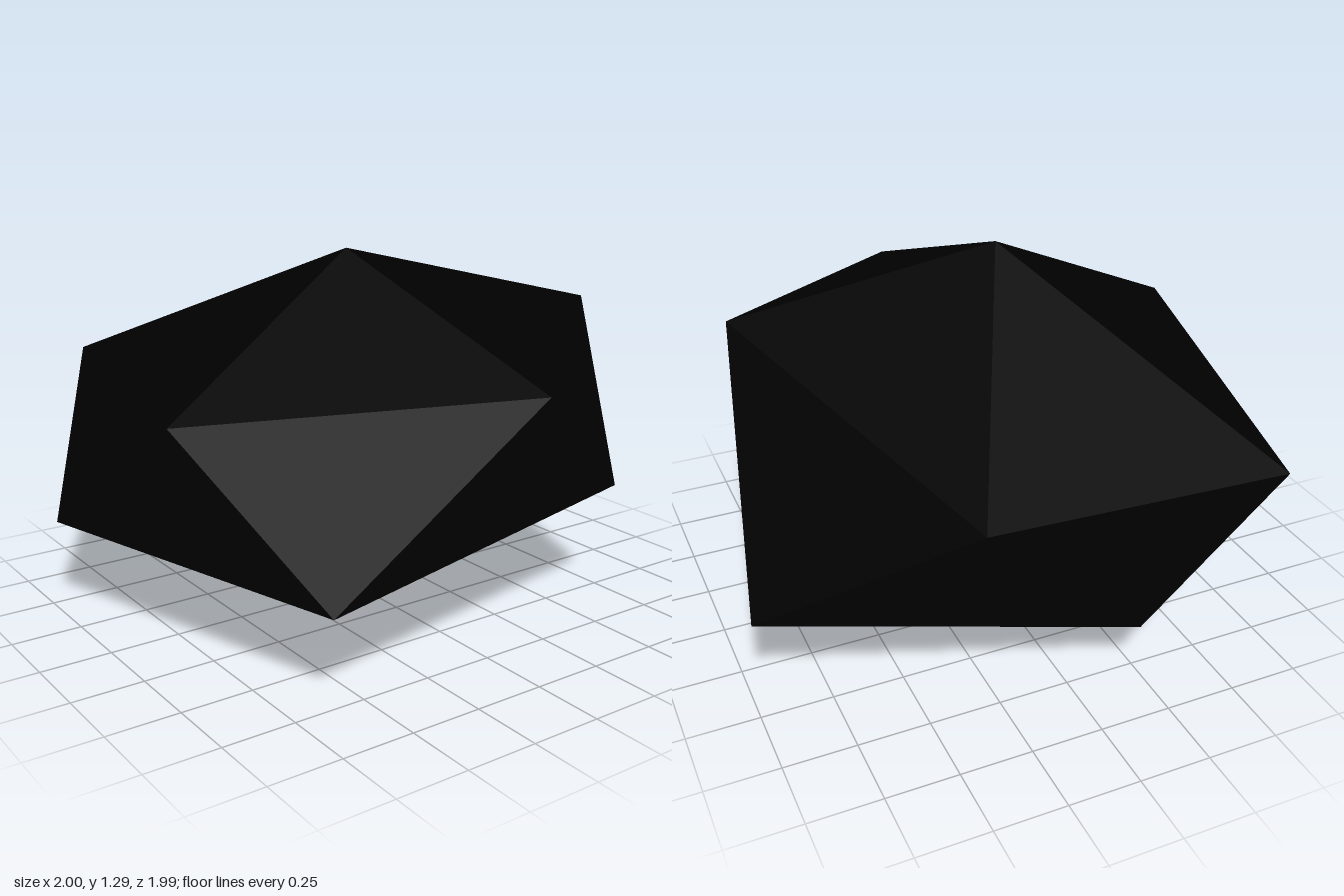
import * as THREE from 'three';

// Irregular low-poly stone: a warped icosahedron made of two staggered rings and two tips
const top = [0.08, 1.29, 0.1];
const bottom = [0, 0, 0.04];
const upperRing = [
  [1, 0.94, 0], [0.38, 0.855, 0.95], [-1, 0.82, 0.62], [-0.93, 0.81, -0.38], [0.29, 1.065, -0.82],
];
const lowerRing = [
  [0.78, 0.31, 0.63], [-0.425, 0.335, 0.995], [-0.81, 0.205, 0.24], [-0.48, 0.36, -0.995], [0.595, 0.42, -0.73],
];

function createStoneGeometry() {
  const corners = [];
  const face = (a, b, c) => corners.push(...a, ...b, ...c);
  for (let i = 0; i < 5; i++) {
    const j = (i + 1) % 5;
    face(top, upperRing[j], upperRing[i]); // cap
    face(upperRing[i], upperRing[j], lowerRing[i]); // side band
    face(lowerRing[i], upperRing[j], lowerRing[j]);
    face(bottom, lowerRing[i], lowerRing[j]); // underside
  }
  const geometry = new THREE.BufferGeometry();
  geometry.setAttribute('position', new THREE.Float32BufferAttribute(corners, 3));
  geometry.computeVertexNormals();
  return geometry;
}

export function createModel() {
  const group = new THREE.Group();
  group.name = 'rock';
  const material = new THREE.MeshStandardMaterial({ color: 0x000000, flatShading: true });
  const stone = new THREE.Mesh(createStoneGeometry(), material);
  stone.name = 'stone';
  group.add(stone);
  return group;
}
